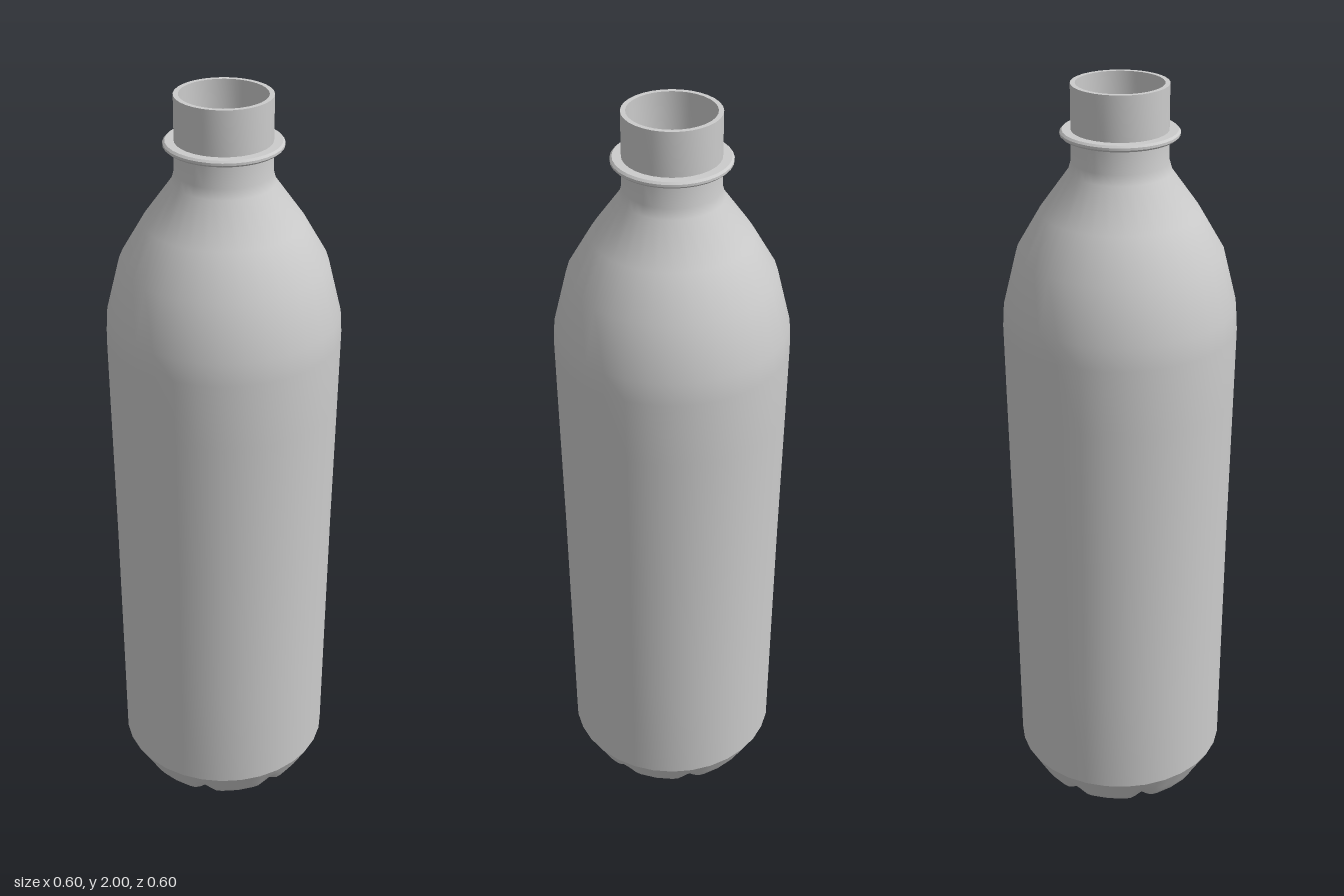
import * as THREE from 'three';
import { toCreasedNormals } from 'three/addons/utils/BufferGeometryUtils.js';

const SIDES = 32;
const GROOVES = 8;
const WALL = 0.012;

const material = new THREE.MeshStandardMaterial({ color: 0xcccccc, side: THREE.DoubleSide });

function lathe(points, segments) {
  return new THREE.LatheGeometry(points.map(([r, y]) => new THREE.Vector2(r, y)), segments);
}

function part(name, geometry, crease) {
  const mesh = new THREE.Mesh(toCreasedNormals(geometry, crease), material);
  mesh.name = name;
  return mesh;
}

// Presses radial grooves up into the floor and keeps the rim on the body's polygon
function shapeFloor(geometry) {
  const pos = geometry.attributes.position;
  const sector = (Math.PI * 2) / GROOVES;
  const facet = (Math.PI * 2) / SIDES;
  for (let i = 0; i < pos.count; i++) {
    const x = pos.getX(i), y = pos.getY(i), z = pos.getZ(i);
    const r = Math.hypot(x, z);
    const a = Math.atan2(x, z) + Math.PI * 2;
    const off = (a % sector) - sector / 2;
    const across = Math.abs(r * Math.sin(off)) / (0.012 + 0.05 * r);
    const fade = THREE.MathUtils.smoothstep(r, 0.035, 0.05) * (1 - THREE.MathUtils.smoothstep(r, 0.235, 0.275));
    const lift = 0.022 * fade * (1 - THREE.MathUtils.smoothstep(across, 0.2, 1));
    const snap = Math.cos(facet / 2) / Math.cos((a % facet) - facet / 2);
    pos.setXYZ(i, x * snap, y + lift, z * snap);
  }
  return geometry;
}

export function createModel() {
  const bottle = new THREE.Group();
  bottle.name = 'bottle';

  // Outer wall from the base up to the neck
  const outer = [
    [0.288, 0.09], [0.29, 0.4], [0.293, 0.8], [0.298, 1.2], [0.3, 1.38], [0.296, 1.44],
    [0.261, 1.58], [0.2, 1.685], [0.128, 1.785], [0.121, 1.81], [0.12, 1.872],
  ];
  bottle.add(part('body', lathe(outer, SIDES), 0.6));

  // Neck collar and open mouth
  const collar = [[0.12, 1.872], [0.142, 1.872], [0.147, 1.877], [0.147, 1.883], [0.142, 1.888], [0.12, 1.888]];
  bottle.add(part('collar', lathe(collar, SIDES), 0.5));
  const mouth = [[0.12, 1.888], [0.12, 2], [0.108, 2], [0.108, 1.872]];
  bottle.add(part('mouth', lathe(mouth, SIDES), 0.6));

  // Inner wall, facing the hollow
  const inner = outer.map(([r, y]) => [r - WALL, y]).reverse();
  bottle.add(part('innerWall', lathe(inner, SIDES), 0.6));

  // Grooved base with a recessed hub
  const floor = [
    [0, 0.02], [0.041, 0.02], [0.047, 0.008], [0.06, 0.005], [0.1, 0.003], [0.15, 0.001], [0.2, 0],
    [0.232, 0], [0.241, 0.006], [0.25, 0.02], [0.262, 0.042], [0.275, 0.066], [0.288, 0.09],
  ];
  bottle.add(part('base', shapeFloor(lathe(floor, SIDES * 3)), 0.7));
  const innerFloor = floor.map(([r, y], i) => [
    r > 0.2 ? r - WALL : r,
    i === floor.length - 1 ? y : y + 0.01,
  ]).reverse();
  bottle.add(part('innerFloor', shapeFloor(lathe(innerFloor, SIDES * 3)), 0.7));

  return bottle;
}
